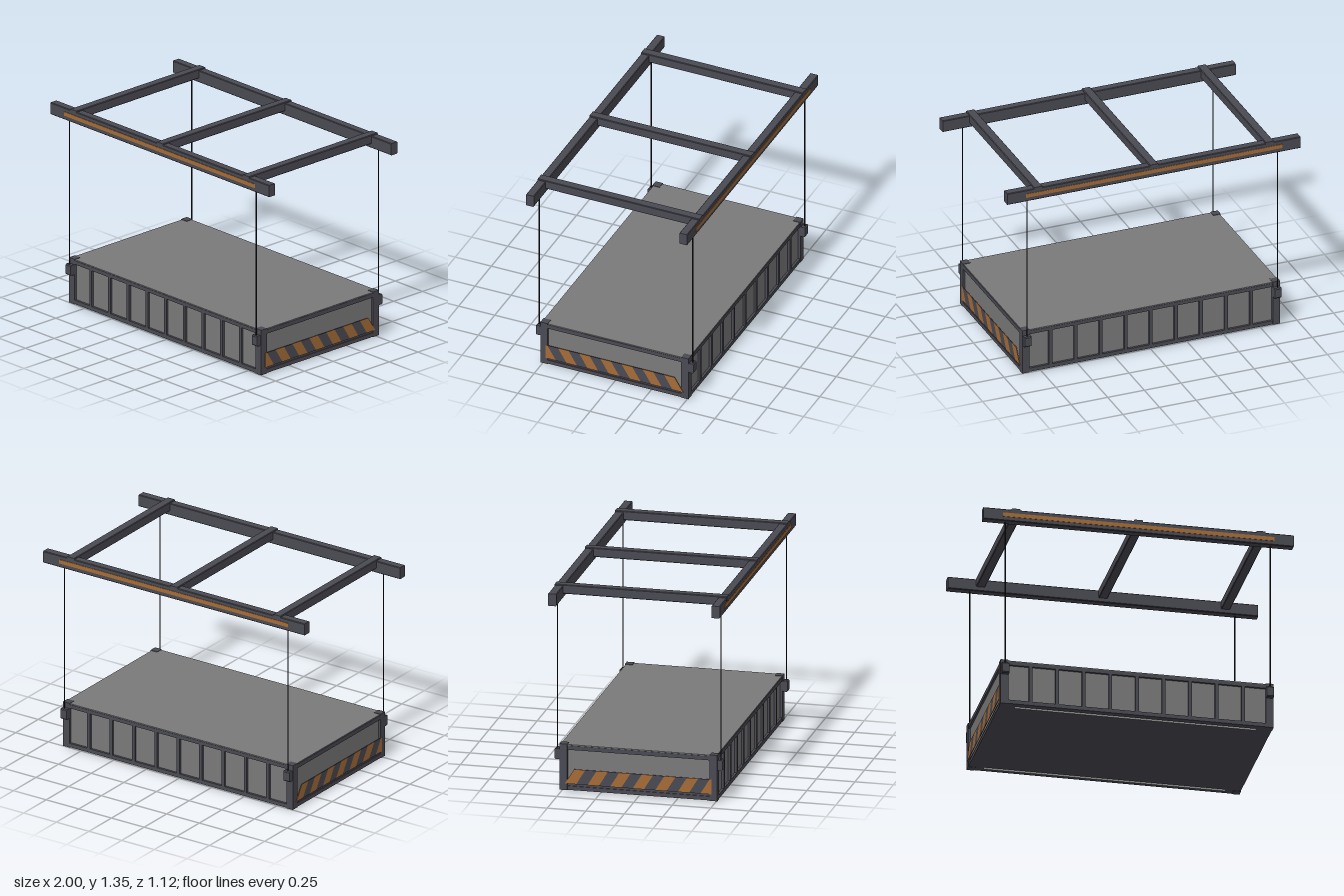
import * as THREE from 'three';

const mat = (name, color, side = THREE.FrontSide) => {
  const m = new THREE.MeshStandardMaterial({ color, side });
  m.name = name;
  return m;
};

export function createModel() {
  const root = new THREE.Group();
  root.name = 'suspendedPlatform';
  const steel = mat('darkSteel', 0x4a4a53);
  const grey = mat('greyPanel', 0x7a7a7a);
  const orange = mat('warningOrange', 0xa56c38);
  const black = mat('cableBlack', 0x1c1c1e);
  const light = mat('paleStrip', 0xb4b4b4);

  const add = (name, geo, m, x = 0, y = 0, z = 0) => {
    const mesh = new THREE.Mesh(geo, m);
    mesh.name = name;
    mesh.position.set(x, y, z);
    root.add(mesh);
    return mesh;
  };
  // box given by its limits on each axis
  const box = (name, m, x0, x1, y0, y1, z0, z1) =>
    add(name, new THREE.BoxGeometry(Math.abs(x1 - x0), y1 - y0, Math.abs(z1 - z0)), m,
      (x0 + x1) / 2, (y0 + y1) / 2, (z0 + z1) / 2);
  // bar with chamfered long edges, lying along z
  const bar = (w, h, len, c) => {
    const a = w / 2, b = h / 2;
    const s = new THREE.Shape([[a, c - b], [a, b - c], [a - c, b], [c - a, b], [-a, b - c], [-a, c - b], [c - a, -b], [a - c, -b]]
      .map(([x, y]) => new THREE.Vector2(x, y)));
    return new THREE.ExtrudeGeometry(s, { depth: len, bevelEnabled: false }).translate(0, 0, -len / 2);
  };

  // container core: floor, inner panels, roof
  box('floor', steel, -0.87, 0.87, 0.01, 0.035, -0.5, 0.5);
  box('innerPanels', grey, -0.865, 0.865, 0.035, 0.3, -0.495, 0.495);
  box('roof', grey, -0.875, 0.875, 0.3, 0.309, -0.507, 0.507);

  for (const s of [-1, 1]) {
    // long sides: rails, dividing ribs and thin pane frames
    box('longTopRail', steel, -0.84, 0.84, 0.278, 0.303, s * 0.485, s * 0.51);
    box('longBottomRail', steel, -0.84, 0.84, 0.01, 0.036, s * 0.485, s * 0.51);
    for (let i = -4; i <= 4; i++) {
      const x = i * 0.1713;
      box('rib', steel, x - 0.011, x + 0.011, 0.03, 0.285, s * 0.49, s * 0.51);
    }
    // short ends: rails
    box('endTopRail', steel, s * 0.855, s * 0.878, 0.275, 0.303, -0.47, 0.47);
    box('endBottomRail', steel, s * 0.855, s * 0.878, 0.01, 0.036, -0.47, 0.47);
    box('endKickRail', steel, s * 0.855, s * 0.872, 0.036, 0.055, -0.465, 0.465);
    // pale strip under the floor
    box('undersideStrip', light, -0.78, 0.78, 0, 0.012, s * 0.458, s * 0.468);

    // slanted hazard stripes, cut square at the front end
    const start = 0.476, n = 13, step = 0.953 / n, slant = 0.06;
    for (let i = 0; i < n; i++) {
      const a = start - i * step, b = a - step;
      const top = (z) => Math.min(start, z + slant);
      const shape = new THREE.Shape([[-a, 0.052], [-b, 0.052], [-top(b), 0.15], [-top(a), 0.15]]
        .map(([x, y]) => new THREE.Vector2(x, y)));
      const geo = new THREE.ExtrudeGeometry(shape, { depth: 0.004, bevelEnabled: false });
      const m = add('hazardStripe', geo.rotateY(Math.PI / 2), i % 2 ? steel : orange, s > 0 ? 0.879 : -0.883);
      m.material.name ||= 'stripe';
    }

    // overhead long beam with orange line
    add('overheadBeam', bar(0.055, 0.08, 2, 0.004).rotateY(Math.PI / 2), steel, 0, 1.297, s * 0.531);
    box('beamStripe', orange, -0.875, 0.875, 1.284, 1.311, s * 0.5575, s * 0.5615);
  }

  // overhead cross beams
  for (const x of [-0.79, 0, 0.79])
    add('crossBeam', bar(0.058, 0.06, 1.118, 0.004), steel, x, 1.315, 0);

  // corners: post, cable clamp and cable
  for (const sx of [-1, 1]) for (const sz of [-1, 1]) {
    box('cornerPost', steel, sx * 0.83, sx * 0.88, 0.008, 0.312, sz * 0.462, sz * 0.512);
    add('cableClamp', bar(0.035, 0.07, 0.046, 0.006).rotateY(Math.PI / 2), steel, sx * 0.853, 0.243, sz * 0.528);
    add('cable', new THREE.CylinderGeometry(0.004, 0.004, 1.0, 8), black, sx * 0.855, 0.77, sz * 0.531);
  }
  return root;
}
